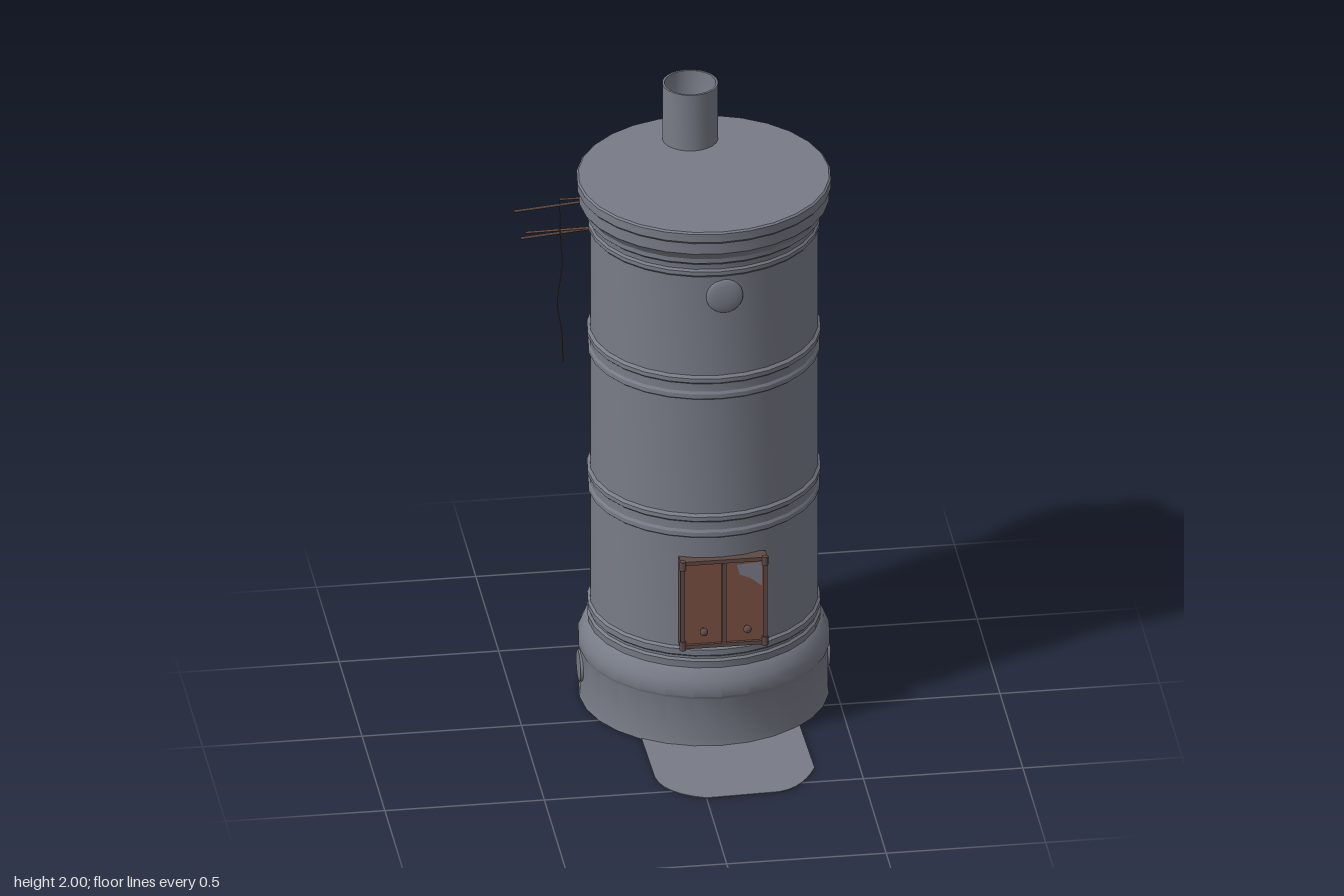
import * as THREE from 'three';
import { toCreasedNormals } from 'three/addons/utils/BufferGeometryUtils.js';

const mat = (name, color, side = THREE.FrontSide) => {
  const m = new THREE.MeshStandardMaterial({ color, side });
  m.name = name;
  return m;
};

export function createModel() {
  const iron = mat('grey iron', 0x787c87);
  const rust = mat('rusty brown', 0x7a5144);
  const darkRust = mat('dark rust', 0x5f4a45);
  const CX = 0.095, CZ = -0.165; // axis of the stove drum

  const group = new THREE.Group();
  const add = (name, geometry, material, x = 0, y = 0, z = 0, parent = group) => {
    const m = new THREE.Mesh(geometry, material);
    m.name = name;
    m.position.set(x, y, z);
    parent.add(m);
    return m;
  };
  const lathe = (points, segments) => toCreasedNormals(
    new THREE.LatheGeometry(points.map(([r, y]) => new THREE.Vector2(r, y)), segments), 0.5);
  const rod = (name, a, b, r, material) => add(name, new THREE.TubeGeometry(
    new THREE.LineCurve3(new THREE.Vector3(...a), new THREE.Vector3(...b)), 1, r, 6), material);

  // Drum: plinth, banded body and lid in one turned profile
  const band = (y) => [
    [0.355, y - 0.05], [0.361, y - 0.045], [0.361, y - 0.03], [0.356, y - 0.022],
    [0.356, y + 0.005], [0.364, y + 0.012], [0.364, y + 0.026], [0.355, y + 0.034]];
  add('drum', lathe([
    [0, 0], [0.39, 0], [0.387, 0.02], [0.387, 0.165], [0.392, 0.175], [0.392, 0.21],
    [0.385, 0.225], [0.375, 0.25], [0.362, 0.262], [0.364, 0.285], [0.357, 0.292],
    [0.357, 0.3], [0.363, 0.306], [0.363, 0.325], [0.355, 0.332],
    ...band(0.765), ...band(1.25),
    [0.355, 1.63], [0.361, 1.637], [0.361, 1.65], [0.355, 1.657], [0.357, 1.675],
    [0.369, 1.685], [0.369, 1.7], [0.376, 1.712], [0.39, 1.728], [0.39, 1.765],
    [0.396, 1.772], [0.396, 1.8], [0.39, 1.805], [0, 1.805],
  ], 28), iron, CX, 0, CZ);

  // Flue pipe with a hollow mouth
  add('fluePipe', lathe([
    [0.087, 1.8], [0.087, 2], [0.08, 2], [0.077, 1.9], [0.055, 1.83], [0, 1.81],
  ], 24), iron, 0.087, 0, -0.407);

  // Hearth plate on the floor
  const hearth = new THREE.Shape();
  hearth.moveTo(-0.145, 0.1);
  hearth.lineTo(-0.14, 0.4);
  hearth.bezierCurveTo(-0.135, 0.48, -0.08, 0.535, 0, 0.562);
  hearth.lineTo(0.23, 0.553);
  hearth.bezierCurveTo(0.29, 0.54, 0.33, 0.48, 0.36, 0.41);
  hearth.lineTo(0.354, 0.1);
  const plate = new THREE.ExtrudeGeometry(hearth, { depth: 0.003, bevelEnabled: false, curveSegments: 6 });
  plate.rotateX(Math.PI / 2);
  add('hearthPlate', plate, iron, 0, 0.003, 0);

  // Round medallion on the front and cleaning caps on both sides of the plinth
  const dome = new THREE.SphereGeometry(0.058, 20, 12);
  add('medallion', dome, iron, 0.11, 1.56, 0.188).scale.z = 0.22;
  for (const s of [-1, 1]) {
    const cap = new THREE.CylinderGeometry(0.05, 0.053, 0.016, 20).rotateZ(-s * Math.PI / 2);
    add('cleaningCap', cap, iron, CX + s * 0.384, 0.105, CZ - 0.01);
  }

  // Firebox door: frame, two leaves, hinge rods and knobs
  const door = new THREE.Group();
  door.name = 'fireboxDoor';
  door.position.set(0.105, 0.493, 0);
  group.add(door);
  add('doorBacking', new THREE.BoxGeometry(0.262, 0.295, 0.04), rust, 0, 0, 0.173, door);
  for (const s of [-1, 1]) {
    add('doorLeaf', new THREE.BoxGeometry(0.118, 0.275, 0.012), rust, s * 0.063, 0, 0.198, door);
    add('doorPost', new THREE.BoxGeometry(0.014, 0.305, 0.045), darkRust, s * 0.129, 0, 0.188, door);
    add('doorRail', new THREE.BoxGeometry(0.27, 0.013, 0.045), darkRust, 0, s * 0.146, 0.187, door);
    add('knob', new THREE.SphereGeometry(0.013, 10, 8), darkRust, s * 0.068 + 0.003, -0.088, 0.225, door);
    add('knobStem', new THREE.CylinderGeometry(0.005, 0.005, 0.03, 8).rotateX(Math.PI / 2),
      darkRust, s * 0.068 + 0.003, -0.088, 0.21, door);
    for (const t of [-1, 1])
      add('hinge', new THREE.CylinderGeometry(0.01, 0.01, 0.03, 8), darkRust, s * 0.129, t * 0.14, 0.208, door);
  }
  add('doorSeam', new THREE.BoxGeometry(0.014, 0.28, 0.018), darkRust, 0, 0, 0.203, door);

  // Bare metal patch in the upper corner of one leaf
  const patch = new THREE.Shape([[0.04, 0.13], [0.05, 0.095], [0.085, 0.08], [0.12, 0.05], [0.12, 0.135]]
    .map(([x, y]) => new THREE.Vector2(x, y)));
  add('barePatch', new THREE.ShapeGeometry(patch), mat('bare metal', 0x787c87, THREE.DoubleSide), 0, 0, 0.2055, door);

  // Damper levers on the side
  rod('upperLever', [-0.25, 1.7, -0.237], [-0.497, 1.7, -0.198], 0.005, darkRust);
  rod('upperHook', [-0.27, 1.712, -0.234], [-0.35, 1.72, -0.22], 0.004, darkRust);
  rod('lowerLever', [-0.25, 1.602, -0.237], [-0.475, 1.602, -0.202], 0.005, darkRust);
  rod('lowerBrace', [-0.25, 1.605, -0.237], [-0.46, 1.62, -0.204], 0.004, rust);

  // Thin pull cord hanging from the levers
  const cord = new THREE.CatmullRomCurve3([
    [-0.35, 1.72, -0.22], [-0.348, 1.6, -0.215], [-0.345, 1.5, -0.2],
    [-0.36, 1.37, -0.195], [-0.347, 1.27, -0.185], [-0.345, 1.17, -0.18],
  ].map((p) => new THREE.Vector3(...p)));
  add('pullCord', new THREE.TubeGeometry(cord, 24, 0.002, 5), darkRust);

  return group;
}
